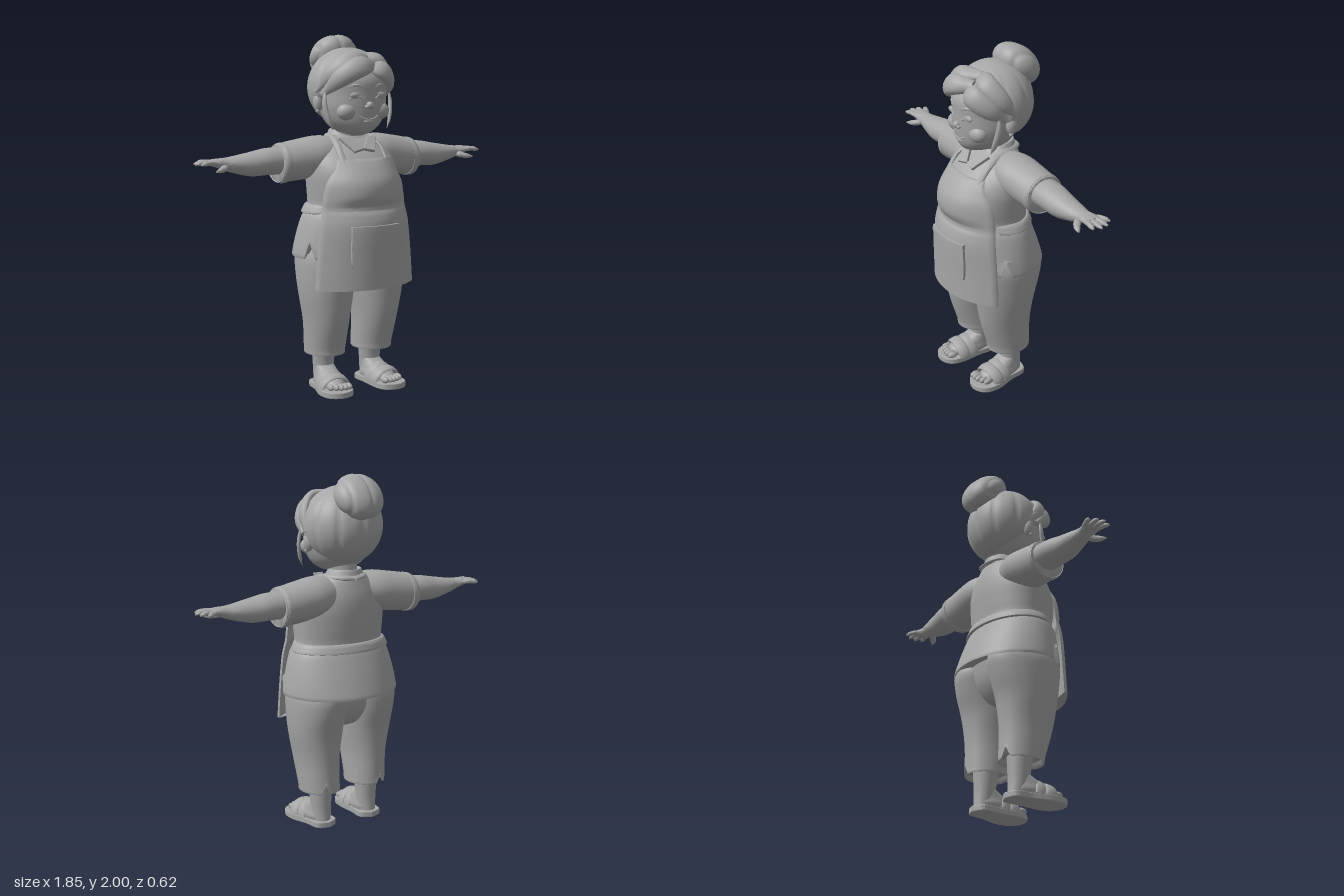
import * as THREE from 'three';
import { toCreasedNormals } from 'three/addons/utils/BufferGeometryUtils.js';

const clay = new THREE.MeshStandardMaterial({ color: 0xa6a6a6 });
clay.name = 'clay grey';
const V = (x, y, z) => new THREE.Vector3(x, y, z);
const TAU = Math.PI * 2;

// Closed skin over a list of point rings, with both ends capped
function skin(rings) {
  const n = rings[0].length, m = rings.length, pos = [], idx = [];
  rings.forEach(r => r.forEach(p => pos.push(p.x, p.y, p.z)));
  for (let i = 0; i < m - 1; i++) for (let j = 0; j < n; j++) {
    const a = i * n + j, b = i * n + (j + 1) % n;
    idx.push(a, a + n, b, b, a + n, b + n);
  }
  [0, m - 1].forEach((row, end) => {
    const c = V(0, 0, 0), k = pos.length / 3;
    rings[row].forEach(p => c.addScaledVector(p, 1 / n));
    pos.push(c.x, c.y, c.z);
    for (let j = 0; j < n; j++) {
      const a = row * n + j, b = row * n + (j + 1) % n;
      end ? idx.push(k, b, a) : idx.push(k, a, b);
    }
  });
  const g = new THREE.BufferGeometry();
  g.setAttribute('position', new THREE.Float32BufferAttribute(pos, 3));
  g.setIndex(idx);
  return toCreasedNormals(g, 0.9);
}

// Smoothly resample rows of numbers
function refine(rows, sub) {
  const cols = rows[0].map((_, k) => new THREE.SplineCurve(rows.map((r, i) => new THREE.Vector2(i, r[k]))));
  const n = (rows.length - 1) * sub;
  return Array.from({ length: n + 1 }, (_, i) => cols.map(c => c.getPoint(i / n).y));
}

// Upright loft, rows: [y, xCentre, zCentre, xRadius, frontRadius, backRadius]
function loft(rows, sub = 5, warp = null, n = 48) {
  return skin(refine(rows, sub).map(([y, xc, zc, rx, rf, rb], i) => Array.from({ length: n }, (_, j) => {
    const a = j / n * TAU, s = Math.sin(a);
    const p = V(xc + rx * Math.cos(a), y, zc + (s > 0 ? rf : rb) * s);
    if (warp) warp(p, i, j);
    return p;
  })));
}
// Sideways loft, rows: [x, yCentre, zCentre, yRadius, zRadius]
const limb = (rows, sub = 5) =>
  loft(rows.map(([x, yc, zc, ry, rz]) => [x, -yc, zc, ry, rz, rz]), sub, null, 32).rotateZ(-Math.PI / 2);

// Flattened strand along a curve; its flat side faces away from `core`
function strand(pts, w, h, core, shape = [0.3, 0.9, 1, 0.8, 0.15]) {
  const curve = new THREE.CatmullRomCurve3(pts.map(p => V(...p)));
  const f = refine(shape.map(s => [s]), 5);
  return skin(f.map(([k], i) => {
    const t = i / (f.length - 1), c = curve.getPoint(t), d = curve.getTangent(t);
    const nrm = c.clone().sub(core);
    nrm.addScaledVector(d, -nrm.dot(d)).normalize();
    const b = nrm.clone().cross(d);
    return Array.from({ length: 14 }, (_, j) => c.clone()
      .addScaledVector(nrm, Math.cos(j / 14 * TAU) * h * k)
      .addScaledVector(b, Math.sin(j / 14 * TAU) * w * k));
  }));
}
const tube = (pts, r) => new THREE.TubeGeometry(new THREE.CatmullRomCurve3(pts.map(p => V(...p))), 16, r, 8);

// Ellipsoid; the optional warp moves points of the unit sphere first
function ball(r, c, warp = null, seg = 18) {
  const g = new THREE.SphereGeometry(1, seg, Math.round(seg * 0.65));
  if (warp) {
    const p = g.attributes.position, v = V(0, 0, 0);
    for (let i = 0; i < p.count; i++) {
      v.fromBufferAttribute(p, i);
      warp(v);
      p.setXYZ(i, v.x, v.y, v.z);
    }
    g.computeVertexNormals();
  }
  return g.scale(...r).translate(...c);
}

// Apron rows: [y, halfWidth, edgeZ, middleZ]
const APRON = refine([
  [0.61, 0.312, 0.17, 0.295], [0.8, 0.298, 0.17, 0.295], [0.95, 0.282, 0.17, 0.3], [1.02, 0.27, 0.165, 0.285],
  [1.06, 0.262, 0.16, 0.267], [1.12, 0.255, 0.16, 0.293], [1.2, 0.235, 0.165, 0.288],
  [1.27, 0.19, 0.165, 0.248], [1.325, 0.165, 0.145, 0.203]], 5);
function apronZ(x, y) {
  const i = Math.max(1, APRON.findIndex(r => r[0] >= y - 1e-6)), a = APRON[i - 1], b = APRON[i];
  const t = (y - a[0]) / (b[0] - a[0]);
  const [, w, e, m] = a.map((q, k) => q + (b[k] - q) * t);
  return e + (m - e) * (1 - Math.pow(Math.abs(x / w), 2.2));
}
// Cloth sheet lying on the apron surface, rows: [y, halfWidth]
const sheet = (rows, lift, thick) => skin(rows.map(([y, w]) => {
  const front = Array.from({ length: 33 }, (_, j) => {
    const x = w * (1 - j / 16);
    return V(x, y, apronZ(x, y) + lift);
  });
  return [...front, ...front.slice().reverse().map(p => V(p.x, p.y, p.z - thick))];
}));

export function createModel() {
  const model = new THREE.Group();
  const add = (name, g, parent = model) => {
    const m = new THREE.Mesh(g, clay);
    m.name = name;
    parent.add(m);
  };

  // Shirt with small side slits in the hem
  add('shirt', loft([
    [0.8, 0, 0, 0.32, 0.23, 0.26], [0.78, 0, 0, 0.345, 0.25, 0.28], [0.9, 0, 0, 0.325, 0.25, 0.24],
    [1.0, 0, 0, 0.295, 0.25, 0.2], [1.06, 0, 0, 0.262, 0.24, 0.175], [1.15, 0, 0, 0.265, 0.255, 0.18],
    [1.25, 0, 0, 0.27, 0.235, 0.185], [1.33, 0, 0, 0.25, 0.18, 0.178], [1.4, 0, -0.01, 0.19, 0.11, 0.148],
    [1.45, 0, -0.04, 0.11, 0.07, 0.1], [1.47, 0, -0.05, 0.07, 0.05, 0.08]], 5,
  (p, i, j) => { if (i < 11 && (j === 3 || j === 21)) p.y = Math.max(p.y, 0.86 + i * 0.002); }));
  add('waistTie', loft([
    [1.02, 0, 0, 0.285, 0.2, 0.19], [1.024, 0, 0, 0.297, 0.2, 0.204], [1.045, 0, 0, 0.288, 0.2, 0.198],
    [1.068, 0, 0, 0.274, 0.2, 0.188], [1.073, 0, 0, 0.25, 0.19, 0.17]], 3));

  // Apron with pocket
  add('apron', sheet(APRON, 0, 0.02));
  add('apronPocket', sheet([[0.735, 0.13], [0.742, 0.146], [0.76, 0.152], [0.85, 0.154], [0.955, 0.15], [0.965, 0.149]], 0.013, 0.02));
  add('pocketHem', sheet([[0.935, 0.152], [0.95, 0.152], [0.967, 0.152]], 0.017, 0.02));
  add('apronTopHem', sheet([[1.3, 0.175], [1.31, 0.171], [1.325, 0.165]], 0.004, 0.02));

  // Collar and neck
  add('neck', loft([[1.38, 0, -0.04, 0.085, 0.085, 0.085], [1.46, 0, -0.03, 0.085, 0.08, 0.08], [1.54, 0, -0.02, 0.09, 0.08, 0.08]]));
  add('collar', loft([[1.42, 0, -0.04, 0.1, 0.09, 0.1], [1.425, 0, -0.042, 0.122, 0.105, 0.116],
    [1.45, 0, -0.045, 0.108, 0.085, 0.106], [1.478, 0, -0.05, 0.092, 0.06, 0.092], [1.47, 0, -0.05, 0.08, 0.05, 0.08]], 4));

  // Paired parts, built on the model's left and mirrored
  [1, -1].forEach(side => {
    const half = new THREE.Group();
    half.name = side > 0 ? 'leftSide' : 'rightSide';
    half.scale.x = side;
    model.add(half);
    const put = (name, g) => add(name, g, half);

    put('sleeve', limb([[0.05, 1.33, -0.03, 0.1, 0.1], [0.18, 1.335, -0.04, 0.112, 0.13], [0.3, 1.318, -0.05, 0.114, 0.125],
      [0.425, 1.302, -0.056, 0.107, 0.116], [0.435, 1.302, -0.056, 0.102, 0.111], [0.42, 1.305, -0.056, 0.09, 0.1]], 4));
    put('sleeveCuff', limb([[0.395, 1.303, -0.056, 0.1, 0.11], [0.398, 1.303, -0.056, 0.112, 0.121], [0.43, 1.301, -0.056, 0.11, 0.119],
      [0.436, 1.301, -0.056, 0.1, 0.11]], 2));
    put('arm', limb([[0.36, 1.315, -0.06, 0.077, 0.09], [0.5, 1.314, -0.06, 0.074, 0.089], [0.6, 1.305, -0.058, 0.066, 0.078],
      [0.7, 1.308, -0.06, 0.046, 0.06], [0.755, 1.313, -0.06, 0.034, 0.047], [0.8, 1.321, -0.06, 0.024, 0.05], [0.845, 1.325, -0.063, 0.014, 0.052]]));
    [[-0.098, 0.885, -0.135], [-0.075, 0.914, -0.094], [-0.05, 0.922, -0.052], [-0.026, 0.905, -0.01]].forEach(([z0, x1, z1]) =>
      put('finger', strand([[0.8, 1.322, z0], [(0.82 + x1) / 2, 1.326, (z0 + z1) / 2], [x1, 1.319, z1]],
        0.0155, 0.013, V(0.8, 0, -0.06), [0.8, 1, 1, 0.95, 0.4])));
    put('thumb', strand([[0.75, 1.305, -0.04], [0.785, 1.292, 0], [0.835, 1.283, 0.028]], 0.017, 0.015, V(0.8, 0, -0.06), [0.8, 1.2, 1.1, 0.9, 0.3]));

    put('apronStrap', strand([[0.142, 1.305, 0.168], [0.14, 1.37, 0.118], [0.128, 1.422, 0.045], [0.11, 1.44, -0.05], [0.07, 1.44, -0.135], [0, 1.435, -0.155]],
      0.019, 0.01, V(0, 1.2, -0.03), [1, 1, 1, 1, 1]));
    const flap = new THREE.Shape([[0.004, -0.055], [0.062, -0.07], [0.115, 0.03], [0.06, 0.03]].map(p => new THREE.Vector2(...p)));
    put('collarFlap', new THREE.ExtrudeGeometry(flap, { depth: 0.012, bevelSize: 0.004, bevelThickness: 0.004, bevelSegments: 2 })
      .rotateX(-0.82).translate(0, 1.407, 0.1));

    // Trouser leg with a notch at the back of the hem
    put('trouserLeg', loft([
      [0.24, 0.155, -0.025, 0.095, 0.105, 0.11], [0.21, 0.155, -0.025, 0.112, 0.125, 0.13], [0.25, 0.156, -0.023, 0.115, 0.13, 0.132],
      [0.4, 0.16, 0, 0.125, 0.152, 0.155], [0.55, 0.163, 0, 0.147, 0.18, 0.172], [0.68, 0.162, 0, 0.157, 0.2, 0.212],
      [0.78, 0.155, 0, 0.16, 0.21, 0.228], [0.86, 0.14, 0, 0.14, 0.2, 0.19]], 5,
    (p, i, j) => { if (i < 11 && Math.abs(j - 38) < 2) p.y = Math.max(p.y, (j === 38 ? 0.262 : 0.235) + i * 0.001); }));
    put('ankle', loft([[0.03, 0.155, -0.045, 0.052, 0.06, 0.062], [0.1, 0.155, -0.045, 0.057, 0.065, 0.058],
      [0.17, 0.155, -0.04, 0.063, 0.063, 0.065], [0.3, 0.155, -0.03, 0.075, 0.08, 0.08]], 4, null, 32));

    // Sandalled foot, turned slightly outward
    const foot = new THREE.Group();
    foot.name = 'foot';
    foot.position.set(0.158, 0, 0);
    foot.rotation.y = 0.1;
    half.add(foot);
    const outline = new THREE.Shape(new THREE.SplineCurve(
      [[0, 0.125], [0.062, 0.095], [0.07, 0], [0.092, -0.12], [0.07, -0.205], [0, -0.235], [-0.07, -0.2], [-0.085, -0.12], [-0.068, 0], [-0.06, 0.095], [0, 0.125]]
        .map(p => new THREE.Vector2(...p))).getPoints(50).slice(0, -1));
    add('sandalSole', new THREE.ExtrudeGeometry(outline, { depth: 0.024, bevelSize: 0.004, bevelThickness: 0.005, bevelSegments: 2 })
      .rotateX(-Math.PI / 2).translate(0, 0.005, 0), foot);
    add('footBody', loft([[0.03, 0, 0.03, 0.068, 0.15, 0.13], [0.055, 0, 0.03, 0.074, 0.15, 0.135], [0.085, 0, 0.02, 0.066, 0.12, 0.12],
      [0.12, 0, -0.01, 0.057, 0.07, 0.09], [0.15, 0, -0.04, 0.05, 0.04, 0.05]], 4, null, 32), foot);
    [-0.056, -0.031, -0.006, 0.022, 0.05].forEach((x, i) =>
      add('toe', ball([i ? 0.0145 : 0.019, 0.019, 0.032], [x, 0.052, 0.185 - 4 * (x + 0.02) ** 2]), foot));
    [[0.105, 0.083, 0.92], [0.045, 0.076, 1.14]].forEach(([z, r, k]) =>
      add('sandalStrap', new THREE.TorusGeometry(r, 0.011, 10, 28, Math.PI).scale(1, k, 3.2).rotateX(0.22).translate(0, 0.028, z), foot));

    // Facial features of one half
    const onFace = (x, y, lift = 0) => [x, y, 0.02 + lift + 0.188 * Math.sqrt(1 - (x / 0.19) ** 2)];
    put('closedEye', tube([onFace(0.04, 1.655), onFace(0.06, 1.668), onFace(0.085, 1.668), onFace(0.11, 1.652)], 0.005));
    put('eyelid', ball([0.036, 0.018, 0.013], onFace(0.075, 1.674, -0.005)));
    put('eyebrow', strand([onFace(0.035, 1.715), onFace(0.075, 1.73), onFace(0.118, 1.715)], 0.008, 0.006, V(0, 1.7, 0)));
    put('cheek', ball([0.062, 0.05, 0.05], [0.1, 1.585, 0.14], null, 28));
    put('nostril', ball([0.013, 0.011, 0.014], [0.017, 1.612, 0.21]));
    put('ear', ball([0.028, 0.052, 0.032], [0.203, 1.632, -0.005]));
    put('earring', ball([0.012, 0.012, 0.012], [0.212, 1.585, 0.005]));
    put('sideLock', strand([[0.205, 1.71, 0.075], [0.212, 1.62, 0.085], [0.197, 1.54, 0.1], [0.175, 1.485, 0.11]], 0.017, 0.011, V(0, 1.6, 0)));
  });
  add('trouserSeat', loft([[0.57, 0, 0, 0.05, 0.06, 0.05], [0.6, 0, 0, 0.13, 0.14, 0.12], [0.7, 0, 0, 0.25, 0.2, 0.18], [0.84, 0, 0, 0.29, 0.22, 0.2]]));

  // Head and central features
  add('face', loft([
    [1.45, 0, 0.05, 0.03, 0.07, 0.03], [1.472, 0, 0.03, 0.095, 0.138, 0.09], [1.52, 0, 0.02, 0.155, 0.176, 0.14],
    [1.6, 0, 0.02, 0.187, 0.186, 0.18], [1.68, 0, 0.02, 0.19, 0.187, 0.2], [1.76, 0, 0.02, 0.188, 0.183, 0.2], [1.85, 0, 0.01, 0.14, 0.13, 0.15]]));
  add('nose', ball([0.021, 0.021, 0.021], [0, 1.62, 0.21]));
  add('smile', tube([[-0.058, 1.56, 0.194], [-0.03, 1.546, 0.203], [0, 1.541, 0.205], [0.03, 1.546, 0.203], [0.058, 1.56, 0.194]], 0.005));
  add('lowerLip', ball([0.032, 0.01, 0.012], [0, 1.53, 0.196]));

  // Hair: grooved cap drawn in around the face and ears
  add('hairCap', ball([0.23, 0.22, 0.212], [0, 1.712, -0.03], v => {
    const groove = 1 - 0.05 * Math.pow(1 - Math.abs(Math.sin(Math.atan2(v.x, v.z) * 5)), 3) * (1 - v.y * v.y);
    const line = (v.z * 0.212 - 0.03) - (v.y * 0.22 + 0.09) * 1.1;
    const tuck = 1 - 0.3 * THREE.MathUtils.smoothstep(line, -0.02, 0.05);
    v.x *= groove * tuck;
    v.z *= groove * tuck;
  }, 80));
  const core = V(0, 1.7, -0.03);
  [
    [[[0.06, 1.84, 0.14], [-0.05, 1.83, 0.19], [-0.145, 1.775, 0.155], [-0.21, 1.675, 0.05]], 0.06, 0.04],
    [[[0.05, 1.885, 0.08], [-0.07, 1.87, 0.14], [-0.175, 1.8, 0.1], [-0.222, 1.69, 0]], 0.055, 0.03],
    [[[0.03, 1.82, 0.15], [0.105, 1.805, 0.175], [0.175, 1.745, 0.125], [0.212, 1.67, 0.04]], 0.06, 0.036],
    [[[0.03, 1.89, 0.06], [0.12, 1.865, 0.1], [0.195, 1.79, 0.06], [0.225, 1.69, -0.02]], 0.055, 0.028],
  ].forEach(([p, w, h]) => add('sweptFringe', strand(p, w, h, core, [0.55, 0.95, 1, 0.8, 0.25])));
  add('hairBun', ball([0.142, 0.098, 0.142], [0, 0, 0], v => {
    v.multiplyScalar(1 - 0.07 * Math.pow(1 - Math.abs(Math.sin(v.x * 4 + 0.4)), 3));
  }, 64).rotateX(-0.75).translate(-0.006, 1.882, -0.182));
  return model;
}
